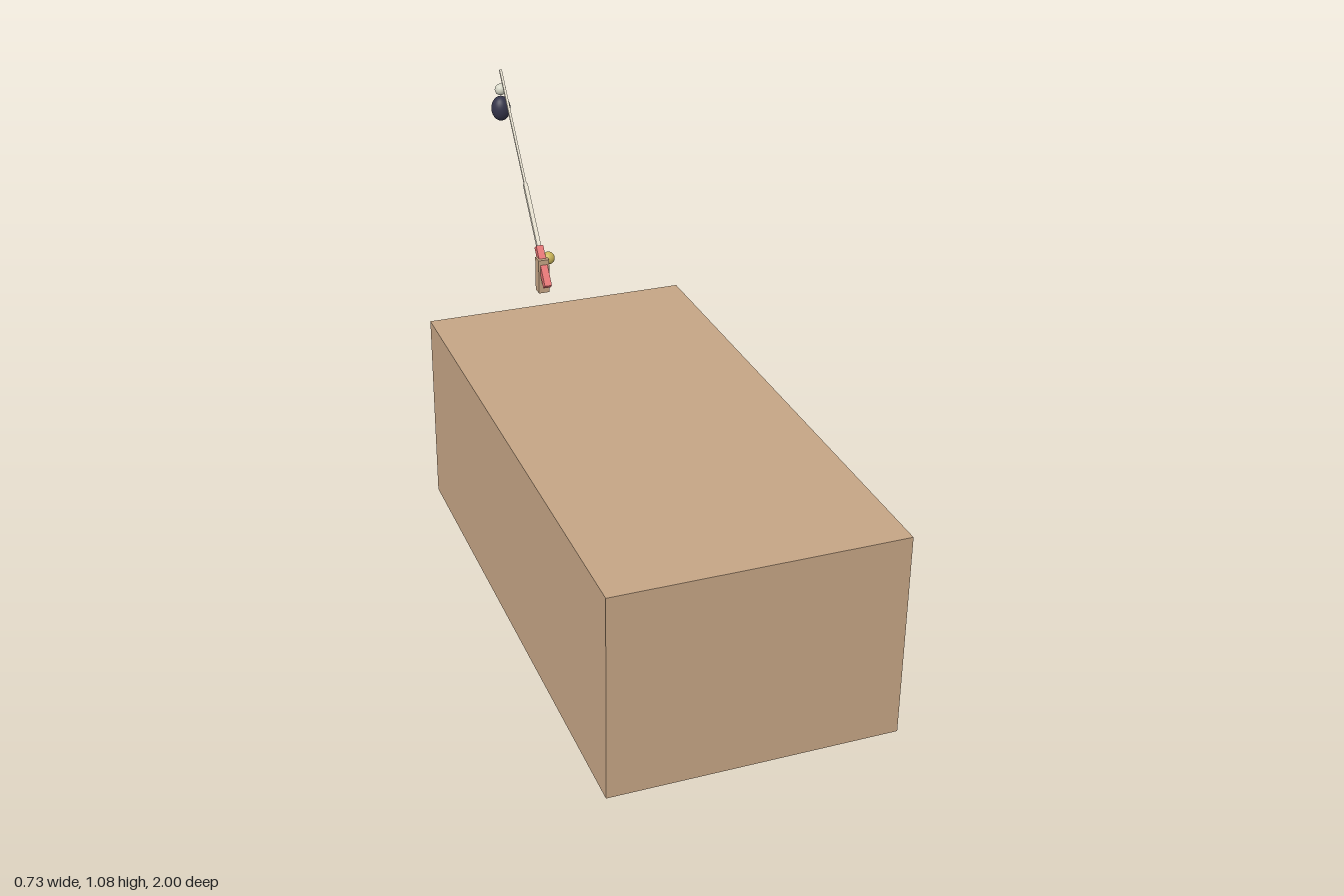
import * as THREE from 'three';

export function createModel() {
  const model = new THREE.Group();
  const paint = (name, color) => {
    const m = new THREE.MeshStandardMaterial({ color });
    m.name = name;
    return m;
  };
  const tan = paint('tan', 0xc4a484);
  const red = paint('coral red', 0xe57373);
  const cream = paint('cream', 0xe6dfce);
  const gold = paint('gold', 0xc9b458);
  const dark = paint('dark navy', 0x34344a);
  const pearl = paint('pearl', 0xd6d6c6);

  const add = (parent, name, geometry, material, x, y, z) => {
    const mesh = new THREE.Mesh(geometry, material);
    mesh.name = name;
    mesh.position.set(x, y, z);
    parent.add(mesh);
    return mesh;
  };

  // Large block and the small post behind it
  add(model, 'block', new THREE.BoxGeometry(0.734, 0.54, 1.466), tan, 0, 0.27, 0.267);
  add(model, 'post', new THREE.BoxGeometry(0.032, 0.102, 0.032), tan, 0, 0.577, -0.588);

  // Stepped arm leaning backwards: [name, start, end, thickness, material]
  const arm = new THREE.Group();
  arm.name = 'arm';
  arm.position.set(0, 0.558, -0.54);
  arm.rotation.x = -0.69;
  model.add(arm);
  for (const [name, start, end, size, material] of [
    ['handle', 0, 0.123, 0.021, red],
    ['lowerRod', 0.123, 0.314, 0.012, cream],
    ['upperRod', 0.314, 0.67, 0.007, cream],
  ]) {
    add(arm, name, new THREE.BoxGeometry(size, end - start, size), material, 0, (start + end) / 2, 0);
  }

  // Round knob on the left side of the post
  add(model, 'knob', new THREE.SphereGeometry(0.0185, 24, 16), gold, 0.023, 0.62, -0.602);

  // Egg-shaped weight with a small bead above it, at the tip of the arm
  add(model, 'weight', new THREE.SphereGeometry(0.0285, 32, 20), dark, 0, 0.956, -0.9715).scale.y = 1.31;
  add(model, 'bead', new THREE.SphereGeometry(0.017, 24, 16), pearl, 0, 1.014, -0.9715);

  return model;
}
